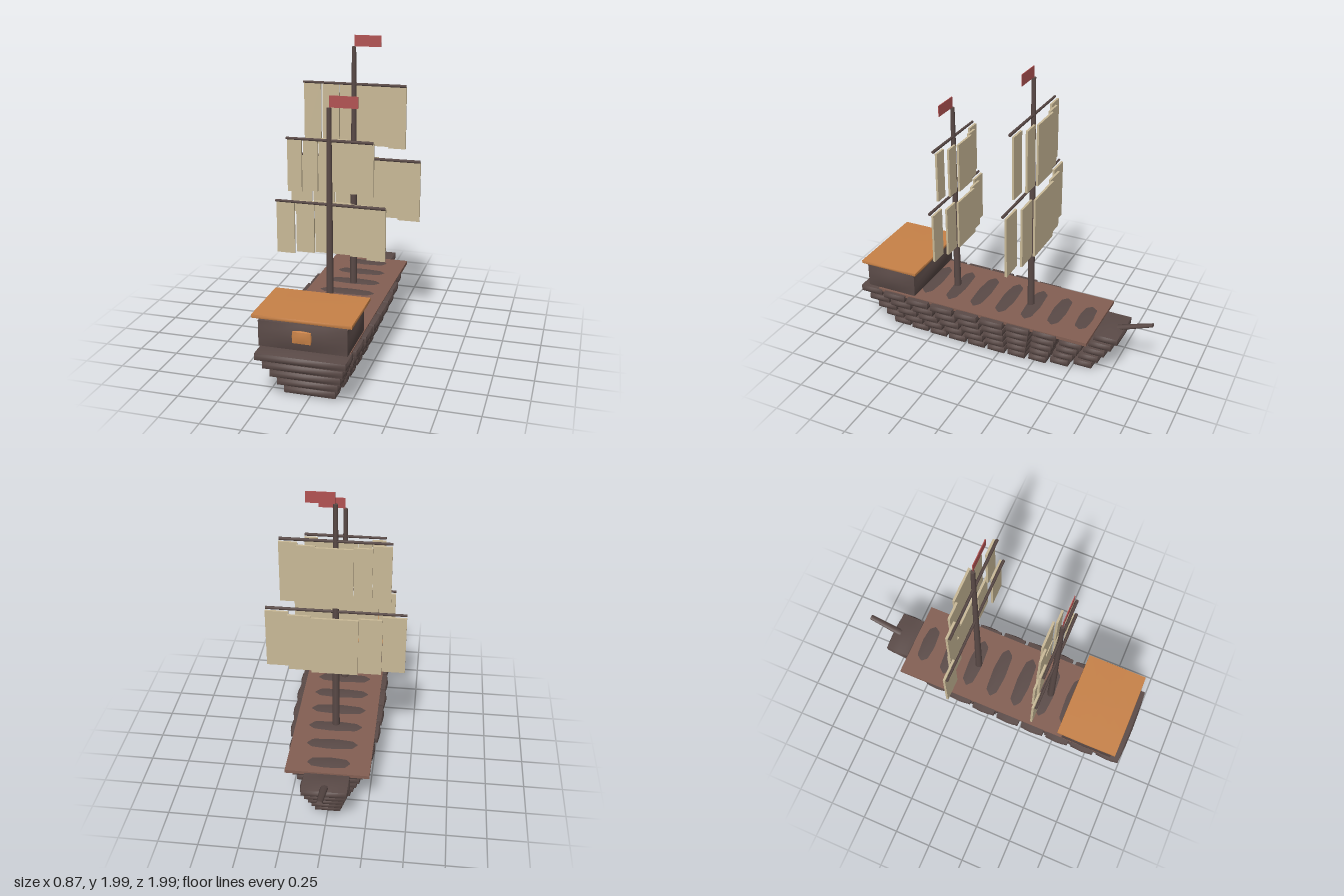
import * as THREE from 'three';

const mat = (name, color) => {
  const m = new THREE.MeshStandardMaterial({ color });
  m.name = name;
  return m;
};

// Box whose faces swell outward by b in the middle; w, h, d include the swelling
function bulgedBox(w, h, d, b, seg = 4) {
  const half = [w / 2 - b, h / 2 - b, d / 2 - b];
  const g = new THREE.BoxGeometry(2, 2, 2, seg, seg, seg);
  const p = g.attributes.position;
  for (let i = 0; i < p.count; i++) {
    const v = [p.getX(i), p.getY(i), p.getZ(i)];
    const f = v.map((c) => 1 - c * c);
    p.setXYZ(i,
      v[0] * (half[0] + b * f[1] * f[2]),
      v[1] * (half[1] + b * f[0] * f[2]),
      v[2] * (half[2] + b * f[0] * f[1]));
  }
  g.computeVertexNormals();
  return g;
}

export function createModel() {
  const wood = mat('dark wood', 0x5a4a47);
  const deckWood = mat('deck wood', 0x835f53);
  const orange = mat('orange wood', 0xc78147);
  const canvas = mat('sail canvas', 0xc9b997);
  const red = mat('flag red', 0xb25353);
  red.side = THREE.DoubleSide;

  const ship = new THREE.Group();
  ship.name = 'sailingShip';
  const add = (parent, name, geo, material, x, y, z) => {
    const m = new THREE.Mesh(geo, material);
    m.name = name;
    m.position.set(x, y, z);
    parent.add(m);
    return m;
  };

  // Hull: five rows of ten swollen timbers, wider and longer toward the top
  const hull = new THREE.Group();
  hull.name = 'hull';
  ship.add(hull);
  const widths = [0.28, 0.295, 0.302, 0.306, 0.308, 0.305, 0.295, 0.275, 0.23, 0.152];
  for (let row = 0; row < 5; row++) {
    const stern = 0.82 + row * 0.044;
    const step = (1.46 + row * 0.09) / 10;
    const scale = 0.6 + row * 0.1;
    widths.forEach((w, i) => add(hull, 'hullTimber',
      bulgedBox(2 * w * scale, 0.066, step, 0.012), wood,
      0, 0.035 + row * 0.07, stern - step * (i + 0.5)));
  }

  // Deck
  add(ship, 'deck', new THREE.BoxGeometry(0.524, 0.022, 1.5), deckWood, 0, 0.332, 0.1);

  // Stern cabin with roof and window
  add(ship, 'cabin', bulgedBox(0.56, 0.19, 0.385, 0.016), wood, 0, 0.435, 0.745);
  add(ship, 'cabinRoof', bulgedBox(0.594, 0.026, 0.414, 0.003), orange, 0, 0.545, 0.742);
  add(ship, 'cabinWindow', bulgedBox(0.118, 0.08, 0.03, 0.005), orange, 0, 0.442, 0.931);

  // Bowsprit
  const from = new THREE.Vector3(0, 0.335, -0.77);
  const to = new THREE.Vector3(0, 0.417, -0.994);
  const dir = to.clone().sub(from);
  const mid = from.clone().add(to).multiplyScalar(0.5);
  const sprit = add(ship, 'bowsprit',
    new THREE.CylinderGeometry(0.018, 0.025, dir.length(), 8), wood, mid.x, mid.y, mid.z);
  sprit.scale.z = 0.6;
  sprit.quaternion.setFromUnitVectors(new THREE.Vector3(0, 1, 0), dir.normalize());

  // Masts, each with two yards, two six-panel sails and a flag
  const masts = [
    { name: 'mainMast', z: -0.162, top: 1.92,
      sails: [[0.335, 1.28, 1.685], [0.435, 0.805, 1.208]] },
    { name: 'sternMast', z: 0.383, top: 1.64,
      sails: [[0.265, 1.115, 1.445], [0.34, 0.72, 1.055]] },
  ];
  for (const { name, z, top, sails } of masts) {
    const rig = new THREE.Group();
    rig.name = name + 'Rig';
    rig.position.z = z;
    ship.add(rig);
    add(rig, name, new THREE.CylinderGeometry(0.014, 0.025, top - 0.33, 8), wood,
      0, (top + 0.33) / 2, 0);
    add(rig, 'flag', new THREE.BoxGeometry(0.172, 0.07, 0.005), red, 0.088, top + 0.037, 0);

    for (const [halfWidth, low, high] of sails) {
      const yard = add(rig, 'yard',
        new THREE.CylinderGeometry(0.008, 0.01, halfWidth * 2, 6), wood, 0, high, 0);
      yard.rotation.z = Math.PI / 2;
      const w = halfWidth / 3;
      for (let i = 0; i < 6; i++) {
        const billow = 0.08 * Math.sin(Math.PI * (i + 0.5) / 6);
        add(rig, 'sailPanel', new THREE.BoxGeometry(w, high - low - 0.008, 0.014), canvas,
          (i - 2.5) * w, (low + high) / 2 - 0.004, -billow);
      }
    }
  }
  return ship;
}
